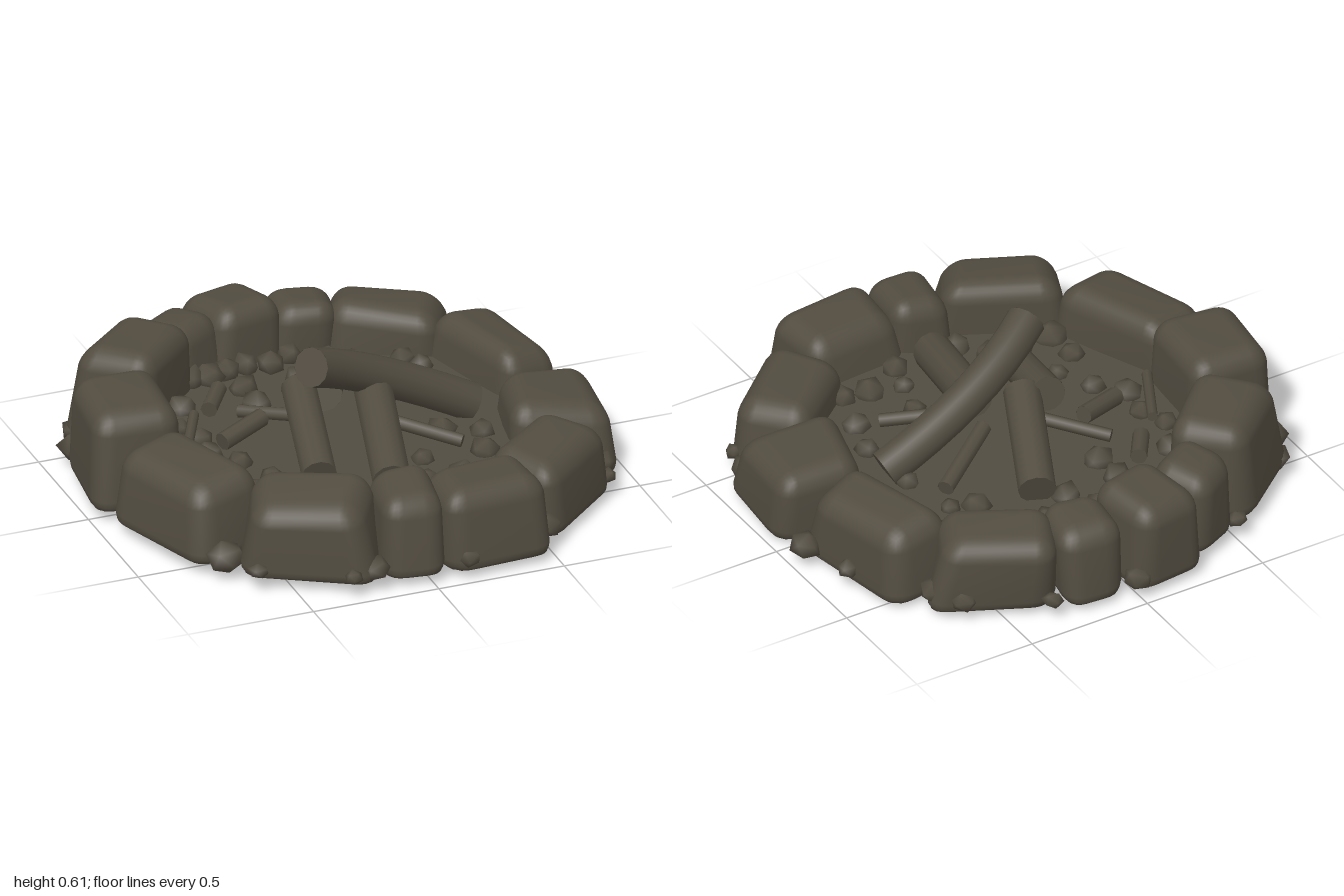
import * as THREE from 'three';
import { mergeGeometries, mergeVertices } from 'three/addons/utils/BufferGeometryUtils.js';
import { RoundedBoxGeometry } from 'three/addons/geometries/RoundedBoxGeometry.js';

let seed = 7;
const rand = () => ((seed = (seed * 16807) % 2147483647) / 2147483647);
const jitter = (a) => (rand() * 2 - 1) * a;

// Shares vertices so that normals come out smooth.
function weld(source) {
  source.deleteAttribute('normal');
  source.deleteAttribute('uv');
  return mergeVertices(source, 1e-4);
}

// Rounded block with a flat base, narrower at the top and sloping outward,
// with its eight corners pushed about.
function stoneGeometry(w, h, d) {
  const sunk = 0.045;
  const geo = weld(new RoundedBoxGeometry(w, h + sunk, d, 3, Math.min(0.085, w * 0.33)));
  geo.translate(0, -sunk / 2, 0);
  const corners = Array.from({ length: 8 }, (_, i) =>
    new THREE.Vector3(jitter(0.03), i & 2 ? jitter(0.02) : jitter(0.006), jitter(0.025)));
  const p = geo.attributes.position;
  const v = new THREE.Vector3();
  for (let i = 0; i < p.count; i++) {
    v.fromBufferAttribute(p, i);
    v.y = Math.max(v.y, -h / 2);
    const u = [v.x / w + 0.5, v.y / h + 0.5, v.z / d + 0.5];
    const taper = 1.05 - 0.19 * u[1] * u[1];
    v.x *= taper;
    v.z *= taper;
    v.y -= 0.025 * u[1] * (1 - u[2]);
    corners.forEach((c, k) => {
      const weight = u.reduce((m, t, a) => m * ((k >> a) & 1 ? t : 1 - t), 1);
      v.addScaledVector(c, weight);
    });
    p.setXYZ(i, v.x, v.y, v.z);
  }
  geo.computeVertexNormals();
  return geo;
}

// Capped tube from a to b; an optional control point bends it.
function logGeometry(a, b, r, bend, sides = 12) {
  const start = new THREE.Vector3(...a);
  const end = new THREE.Vector3(...b);
  const control = bend ? new THREE.Vector3(...bend) : start.clone().lerp(end, 0.5);
  const curve = new THREE.QuadraticBezierCurve3(start, control, end);
  const cap = (t, sign) => {
    const c = new THREE.CircleGeometry(r, sides);
    const out = curve.getTangent(t).multiplyScalar(sign);
    c.applyQuaternion(new THREE.Quaternion().setFromUnitVectors(new THREE.Vector3(0, 0, 1), out));
    return c.translate(...curve.getPoint(t).toArray());
  };
  return mergeGeometries([new THREE.TubeGeometry(curve, 8, r, sides), cap(0, -1), cap(1, 1)]);
}

// Irregular rounded pebble.
function pebbleGeometry(r, squash) {
  const geo = weld(new THREE.IcosahedronGeometry(r));
  const p = geo.attributes.position;
  for (let i = 0; i < p.count; i++) {
    const k = 1.03 + jitter(0.14);
    p.setXYZ(i, p.getX(i) * k, p.getY(i) * k, p.getZ(i) * k);
  }
  geo.rotateX(rand() * 6).rotateZ(rand() * 6).scale(1, squash, 0.95).rotateY(rand() * 6);
  geo.computeVertexNormals();
  return geo;
}

export function createModel() {
  const model = new THREE.Group();
  const rock = new THREE.MeshStandardMaterial({ color: 0x524c40, side: THREE.DoubleSide });
  rock.name = 'dark earth brown';

  const group = (name) => {
    const g = new THREE.Group();
    g.name = name;
    model.add(g);
    return g;
  };
  const add = (parent, name, geo) => {
    const m = new THREE.Mesh(geo, rock);
    m.name = name;
    parent.add(m);
    return m;
  };

  // Earth floor
  const floor = add(model, 'floor', new THREE.CircleGeometry(0.74, 32));
  floor.rotation.x = -Math.PI / 2;
  floor.position.y = 0.165;

  // Ring of stones: x, z, length, depth, top, turn in degrees
  const ring = group('stoneRing');
  [
    [-0.605, -0.55, 0.43, 0.33, 0.445, 40],
    [-0.35, -0.74, 0.27, 0.27, 0.395, 28],
    [-0.115, -0.81, 0.33, 0.32, 0.4, 12],
    [0.155, -0.795, 0.26, 0.29, 0.37, -8],
    [0.46, -0.665, 0.46, 0.29, 0.345, -30],
    [0.735, -0.295, 0.51, 0.29, 0.33, -76],
    [0.785, 0.17, 0.42, 0.39, 0.31, -99],
    [0.61, 0.56, 0.48, 0.31, 0.325, -143],
    [0.25, 0.785, 0.41, 0.35, 0.355, 184],
    [-0.06, 0.785, 0.25, 0.34, 0.365, 174],
    [-0.39, 0.705, 0.47, 0.31, 0.37, 152],
    [-0.735, 0.315, 0.51, 0.32, 0.355, 110],
    [-0.805, -0.145, 0.44, 0.35, 0.44, 83],
  ].forEach(([x, z, w, d, top, deg]) => {
    const base = 0.038 - 0.021 * x;
    const m = add(ring, 'ringStone', stoneGeometry(w, top - base, d));
    m.position.set(x, (top + base) / 2, z);
    m.rotation.y = THREE.MathUtils.degToRad(deg);
  });

  // Stacked logs, the uppermost one bent
  const logs = group('logs');
  [
    [[0.53, 0.2, 0], [-0.165, 0.54, 0.135], 0.075, [0.12, 0.41, -0.035]],
    [[-0.23, 0.22, 0.38], [-0.13, 0.35, -0.08], 0.067],
    [[0.13, 0.22, -0.43], [-0.06, 0.345, -0.01], 0.071],
    [[0, 0.225, 0.53], [0.12, 0.345, 0.04], 0.074],
  ].forEach((args) => add(logs, 'log', logGeometry(...args)));

  // Thin sticks lying on the floor: x0, z0, x1, z1, radius, end height
  const sticks = group('sticks');
  [
    [-0.3, -0.25, -0.08, -0.03, 0.025, 0.24],
    [-0.62, 0.02, -0.48, -0.25, 0.02, 0.22],
    [-0.45, -0.04, -0.26, -0.12, 0.035, 0.23],
    [0.4, -0.22, 0.12, -0.03, 0.032, 0.26],
    [0.38, 0.28, 0.16, 0.12, 0.026, 0.25],
    [-0.4, -0.3, -0.31, -0.43, 0.032, 0.21],
  ].forEach(([x0, z0, x1, z1, r, y]) =>
    add(sticks, 'stick', logGeometry([x0, 0.2, z0], [x1, y, z1], r, null, 8)));

  // Pebbles as x, z, radius and, where it differs, height
  const scatter = (parent, name, list, y, squash) => list.forEach(([x, z, r, ownY]) =>
    add(parent, name, pebbleGeometry(r, squash)).position.set(x, ownY ?? y, z));

  const inner = group('floorPebbles');
  scatter(inner, 'floorPebble', [
    [-0.2, -0.46, 0.065], [-0.2, -0.32, 0.065], [-0.065, -0.49, 0.07, 0.06], [0.02, -0.46, 0.06],
    [0.17, -0.56, 0.06], [0.27, -0.53, 0.055], [0.44, -0.47, 0.05], [0.34, -0.34, 0.065],
    [0.43, -0.3, 0.04], [-0.47, -0.4, 0.06], [-0.5, -0.14, 0.05], [-0.52, -0.01, 0.06],
  ], 0.172, 0.85);
  scatter(inner, 'floorPebble', [
    [-0.43, 0.09, 0.05], [-0.36, 0.23, 0.045], [-0.47, 0.31, 0.055], [0.36, 0.12, 0.06],
    [0.45, 0.33, 0.06], [0.21, 0.31, 0.045], [0.3, 0.49, 0.065], [0.4, 0.51, 0.055],
    [0.17, 0.46, 0.045], [-0.46, 0.45, 0.07], [-0.31, 0.43, 0.06], [-0.21, 0.47, 0.055],
    [-0.13, 0.57, 0.06], [-0.03, 0.6, 0.05], [0.14, 0.57, 0.06], [0.48, -0.08, 0.045],
    [0.5, 0.18, 0.05], [0.49, -0.4, 0.045], [-0.54, -0.25, 0.05],
  ], 0.172, 0.85);
  scatter(inner, 'edgePebble', [
    [-0.37, -0.59, 0.065], [-0.29, -0.58, 0.065], [-0.21, -0.6, 0.06], [-0.13, -0.61, 0.055],
    [-0.04, -0.59, 0.055], [0.05, -0.63, 0.055],
  ], 0.185, 0.85);

  // Small stones around the outside
  scatter(group('outerPebbles'), 'outerPebble', [
    [0.01, -0.945, 0.06], [0.35, -0.9, 0.04], [0.63, -0.73, 0.055], [0.69, -0.62, 0.065],
    [0.89, -0.33, 0.045], [0.945, -0.12, 0.065], [0.88, 0.42, 0.06], [0.86, 0.53, 0.035],
    [0.5, 0.82, 0.06], [0.14, 0.96, 0.045], [-0.22, 0.91, 0.06], [-0.32, 0.95, 0.035],
    [-0.63, 0.77, 0.04], [-0.7, 0.62, 0.075], [-0.88, -0.41, 0.08], [-0.83, -0.54, 0.06],
    [-0.51, -0.81, 0.04],
  ], 0.085, 0.75);

  return model;
}
